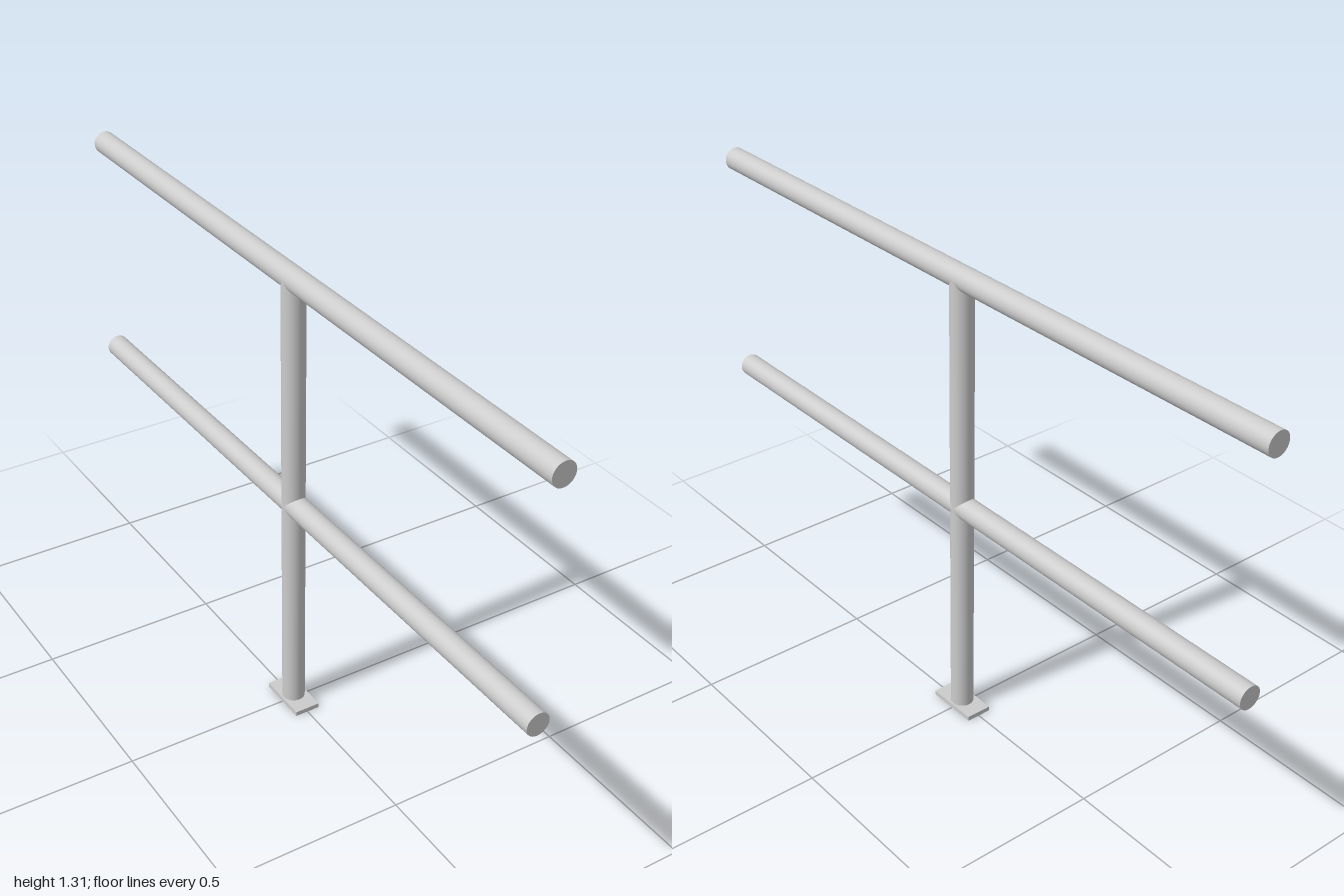
import * as THREE from 'three';

const RADIUS = 0.031;
const LENGTH = 2;
const TOP_Y = 1.279;
const MID_Y = 0.643;
const BASE_H = 0.013;

export function createModel() {
  const group = new THREE.Group();
  const material = new THREE.MeshStandardMaterial({ color: 0xcccccc });

  const add = (name, geometry, y) => {
    const mesh = new THREE.Mesh(geometry, material);
    mesh.name = name;
    mesh.position.y = y;
    group.add(mesh);
    return mesh;
  };
  const tube = (length) => new THREE.CylinderGeometry(RADIUS, RADIUS, length, 48);

  // Floor plate
  add('basePlate', new THREE.BoxGeometry(0.072, BASE_H, 0.146), BASE_H / 2);

  // Upright, ending inside the handrail
  const postHeight = TOP_Y - BASE_H;
  add('post', tube(postHeight), BASE_H + postHeight / 2);

  // Horizontal rails running front to back
  for (const [name, y] of [['handrail', TOP_Y], ['midRail', MID_Y]]) {
    add(name, tube(LENGTH).rotateX(Math.PI / 2), y);
  }

  return group;
}
